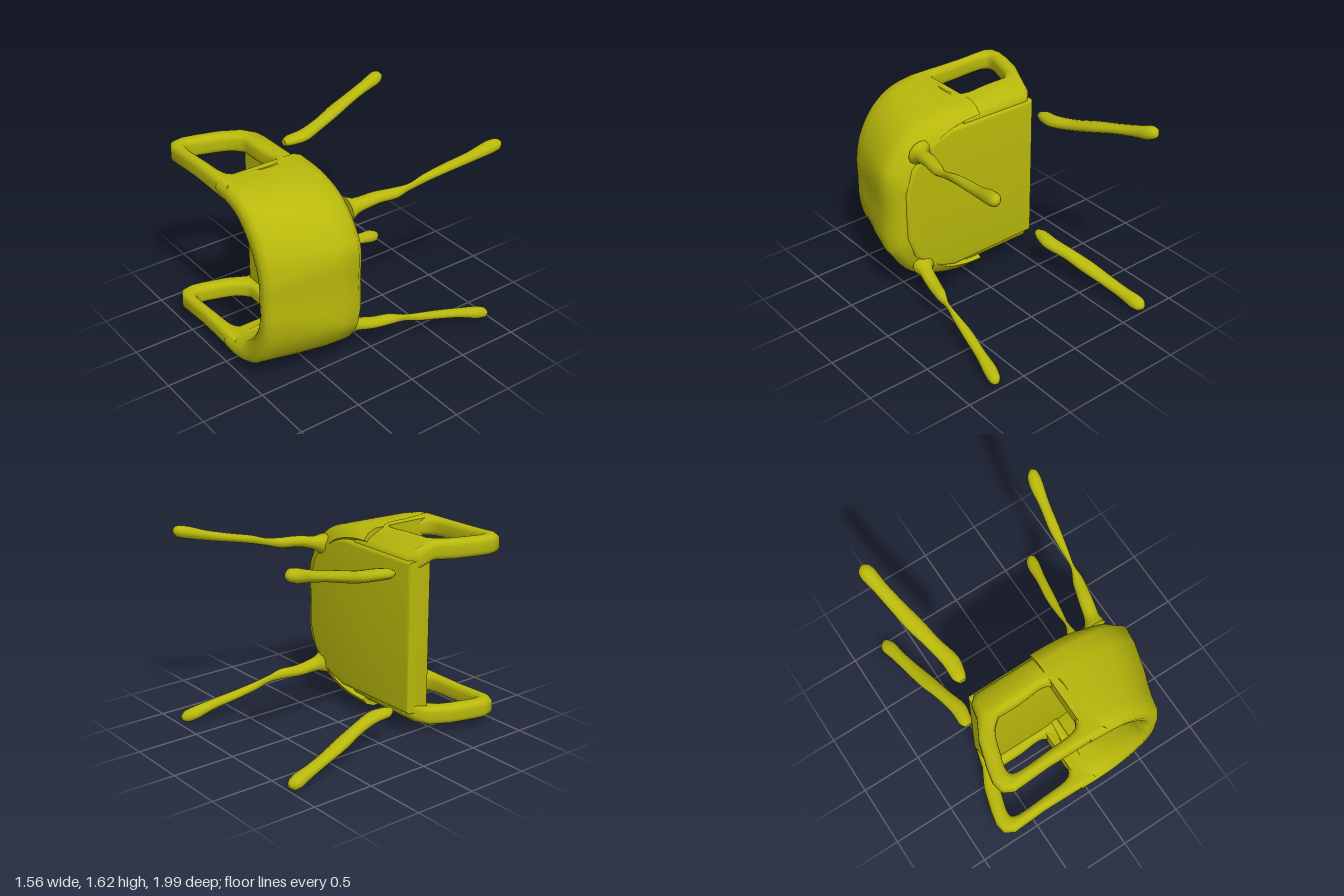
import * as THREE from 'three';
import { mergeVertices, toCreasedNormals } from 'three/addons/utils/BufferGeometryUtils.js';

const MID = 0.81; // symmetry plane of the chair (y)
const material = new THREE.MeshStandardMaterial({ color: 0xb8b80c, side: THREE.DoubleSide });

function mesh(name, geometry) {
  const m = new THREE.Mesh(geometry, material);
  m.name = name;
  return m;
}

// Skin a list of closed rings (arrays of Vector3) and cap both ends
function loft(rings) {
  const n = rings[0].length, pos = [], idx = [];
  rings.forEach(r => r.forEach(p => pos.push(p.x, p.y, p.z)));
  for (let i = 0; i < rings.length - 1; i++) {
    for (let j = 0; j < n; j++) {
      const a = i * n + j, b = i * n + (j + 1) % n;
      idx.push(a, b, a + n, b, b + n, a + n);
    }
  }
  [0, rings.length - 1].forEach((r, end) => {
    const c = new THREE.Vector3();
    rings[r].forEach(p => c.addScaledVector(p, 1 / n));
    const ci = pos.push(c.x, c.y, c.z) / 3 - 1;
    for (let j = 0; j < n; j++) {
      const a = r * n + j, b = r * n + (j + 1) % n;
      end ? idx.push(ci, a, b) : idx.push(ci, b, a);
    }
  });
  // Turn the faces outward if the enclosed volume comes out negative
  const at = i => new THREE.Vector3().fromArray(pos, i * 3);
  let volume = 0;
  for (let i = 0; i < idx.length; i += 3) volume += at(idx[i]).dot(at(idx[i + 1]).cross(at(idx[i + 2])));
  if (volume < 0) idx.reverse();
  const g = new THREE.BufferGeometry();
  g.setAttribute('position', new THREE.Float32BufferAttribute(pos, 3));
  g.setIndex(idx);
  return toCreasedNormals(g, 1);
}

// U-shaped curve from half of its points [x, distance from the middle]
function uCurve(half) {
  const other = half.slice(0, -1).reverse().map(([x, d]) => [x, -d]);
  return new THREE.CatmullRomCurve3([...half, ...other].map(([x, d]) => new THREE.Vector3(x, MID + d, 0)));
}

// Curved backrest wall that leans outward towards the seat
function backrest() {
  const inner = uCurve([[-0.06, 0.59], [0.03, 0.58], [0.18, 0.53], [0.31, 0.40], [0.40, 0.25], [0.44, 0.12], [0.44, 0]]);
  const top = uCurve([[-0.06, 0.73], [0.12, 0.73], [0.29, 0.68], [0.44, 0.56], [0.55, 0.37], [0.59, 0.18], [0.59, 0]]);
  const low = uCurve([[-0.06, 0.73], [0.22, 0.71], [0.45, 0.64], [0.58, 0.55], [0.69, 0.41], [0.735, 0.31], [0.735, 0]]);
  const rings = [], steps = 72;
  for (let i = 0; i <= steps; i++) {
    const t = i / steps, lift = 0.02 * Math.sin(Math.PI * t);
    const I = inner.getPoint(t), T = top.getPoint(t), L = low.getPoint(t);
    const at = (a, b, k, z) => a.clone().lerp(b, k).setZ(z);
    rings.push([
      at(I, T, 0, 0.32), at(I, T, 0, 0.86), at(I, T, 0.06, 0.92 + lift), at(I, T, 0.25, 0.96 + lift),
      at(I, T, 0.5, 0.972 + lift), at(I, T, 0.8, 0.965 + lift), at(I, T, 0.96, 0.93 + lift),
      at(T, L, 0.1, 0.85), at(T, L, 0.55, 0.65), at(T, L, 0.9, 0.45), at(T, L, 1, 0.31),
      at(L, I, 0.2, 0.245), at(L, I, 0.55, 0.2),
    ]);
  }
  return mesh('backrest', loft(rings));
}

const points = list => list.map(([x, y]) => new THREE.Vector2(x, y));

function bevelled(shape, depth, bevel) {
  const g = new THREE.ExtrudeGeometry(shape, {
    depth: depth - 2 * bevel, bevelThickness: bevel, bevelSize: bevel, bevelOffset: -bevel,
    bevelSegments: 4, curveSegments: 10,
  });
  g.deleteAttribute('uv');
  g.deleteAttribute('normal');
  return mergeVertices(g, 1e-4);
}

// Thick seat slab
function seat() {
  const half = [[-0.59, 0.6], [0.2, 0.61], [0.42, 0.54], [0.57, 0.38], [0.63, 0.2]];
  const outline = [...half, ...half.slice().reverse().map(([x, d]) => [x, -d])];
  const g = bevelled(new THREE.Shape(points(outline)), 0.21, 0.03);
  g.translate(0, MID, 0.23);
  return mesh('seat', toCreasedNormals(g, 0.8));
}

// Armrest loop with an open window, tucked in towards the seat at its base
function armrest(side) {
  const shape = new THREE.Shape(points([
    [0.08, 0.22], [-0.54, 0.22], [-0.6, 0.28], [-0.63, 0.40], [-0.71, 0.55], [-0.765, 0.74],
    [-0.785, 0.84], [-0.765, 0.93], [-0.69, 0.97], [-0.4, 0.955], [0.08, 0.965],
  ]));
  const window_ = new THREE.Path();
  window_.setFromPoints(new THREE.SplineCurve(points([
    [-0.49, 0.465], [-0.3, 0.465], [-0.12, 0.45], [-0.05, 0.5], [-0.045, 0.66], [-0.07, 0.79],
    [-0.14, 0.85], [-0.35, 0.865], [-0.6, 0.875], [-0.66, 0.83], [-0.63, 0.7], [-0.57, 0.54], [-0.49, 0.465],
  ])).getPoints(36).slice(0, -1));
  shape.holes.push(window_);
  const g = bevelled(shape, 0.15, 0.045);
  g.rotateX(Math.PI / 2);
  g.computeBoundingBox();
  const c = (g.boundingBox.min.y + g.boundingBox.max.y) / 2;
  g.translate(0, MID + side * 0.66 - c, 0);
  const p = g.attributes.position;
  for (let i = 0; i < p.count; i++) {
    const tuck = 1 - THREE.MathUtils.smoothstep(p.getZ(i), 0.18, 0.4);
    p.setY(i, p.getY(i) - side * 0.1 * tuck);
  }
  return mesh(side > 0 ? 'upperArmrest' : 'lowerArmrest', toCreasedNormals(g, 0.9));
}

// Knobbly leg from stations [x, distance from the middle, z, radius in x, radius in y]
function leg(name, side, stations) {
  const path = new THREE.CatmullRomCurve3(stations.map(s => new THREE.Vector3(s[0], MID + side * s[1], s[2])));
  const radii = new THREE.CatmullRomCurve3(stations.map(s => new THREE.Vector3(s[3], s[4], 0)));
  const rings = [], steps = 36, sides = 12;
  for (let i = 0; i <= steps; i++) {
    const c = path.getPoint(i / steps), r = radii.getPoint(i / steps), ring = [];
    for (let j = 0; j < sides; j++) {
      const a = j / sides * Math.PI * 2;
      ring.push(new THREE.Vector3(c.x + r.x * Math.cos(a), c.y + r.y * Math.sin(a), c.z));
    }
    rings.push(ring);
  }
  return mesh(name, loft(rings));
}

const backLeg = [
  [0.47, 0.49, 0.24, 0.11, 0.1], [0.51, 0.515, 0.16, 0.06, 0.055], [0.545, 0.545, 0.02, 0.055, 0.045],
  [0.58, 0.55, -0.12, 0.045, 0.042], [0.605, 0.575, -0.24, 0.014, 0.03], [0.62, 0.61, -0.36, 0.028, 0.034],
  [0.645, 0.65, -0.54, 0.042, 0.035], [0.68, 0.69, -0.72, 0.042, 0.04], [0.71, 0.735, -0.88, 0.055, 0.05],
  [0.725, 0.75, -0.95, 0.045, 0.045], [0.73, 0.755, -0.98, 0.02, 0.02],
];
const frontLeg = [
  [-0.545, 0.54, 0.07, 0.03, 0.025], [-0.545, 0.545, 0.02, 0.055, 0.04], [-0.535, 0.555, -0.1, 0.065, 0.045],
  [-0.575, 0.585, -0.28, 0.058, 0.045], [-0.615, 0.63, -0.45, 0.065, 0.045], [-0.655, 0.68, -0.64, 0.058, 0.04],
  [-0.685, 0.72, -0.8, 0.055, 0.045], [-0.705, 0.75, -0.92, 0.062, 0.055], [-0.71, 0.76, -0.97, 0.05, 0.045],
  [-0.71, 0.76, -1, 0.02, 0.02],
];

export function createModel() {
  const chair = new THREE.Group();
  chair.name = 'armchair';
  chair.add(backrest(), seat());
  for (const side of [1, -1]) {
    const row = side > 0 ? 'upper' : 'lower';
    chair.add(armrest(side), leg(row + 'BackLeg', side, backLeg), leg(row + 'FrontLeg', side, frontLeg));
  }
  return chair;
}
